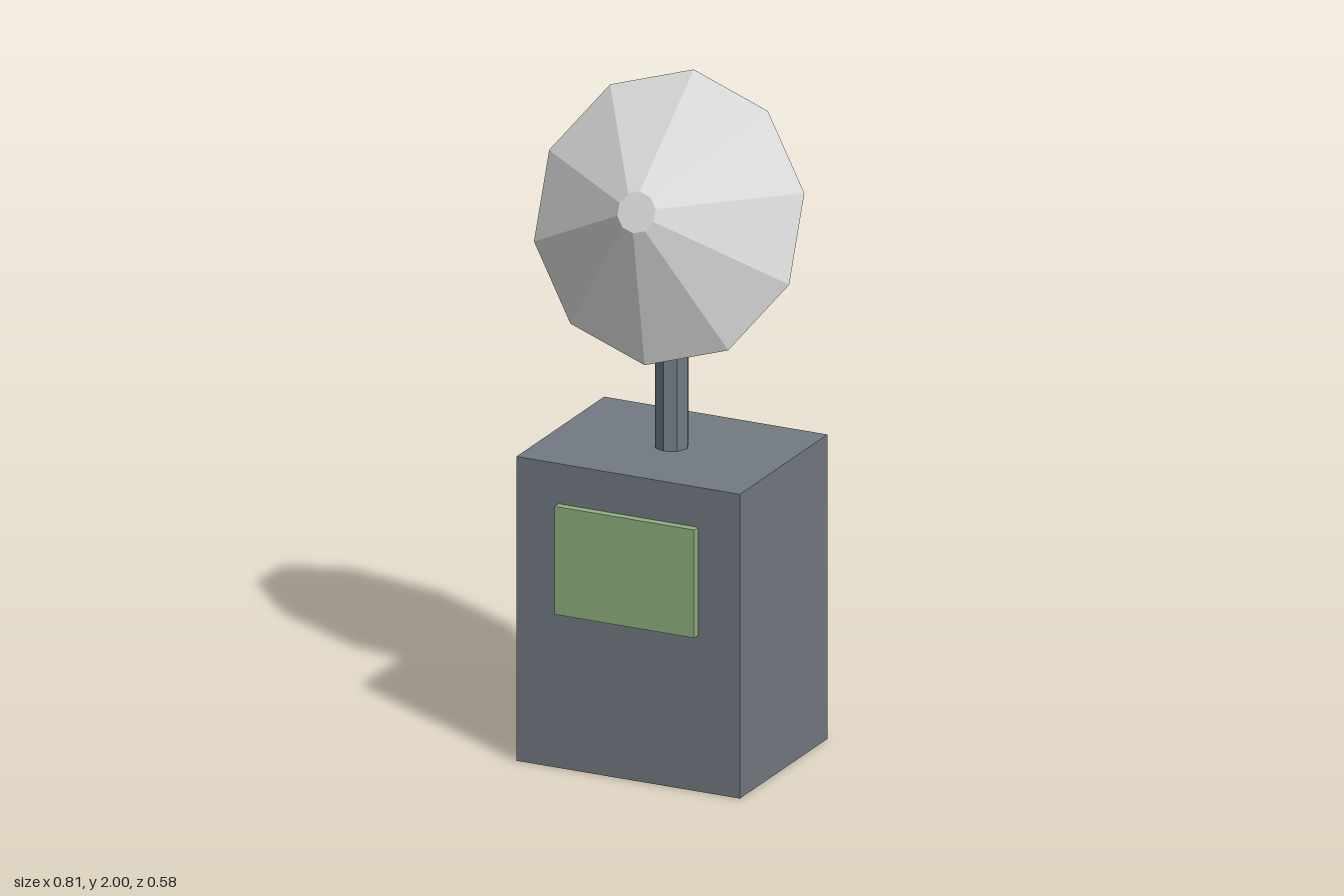
import * as THREE from 'three';

const flat = (name, color) => {
  const m = new THREE.MeshStandardMaterial({ color });
  m.name = name;
  return m;
};

export function createModel() {
  const group = new THREE.Group();
  const casing = flat('slate grey', 0x747a83);
  const steel = flat('blue grey', 0x707c85);
  const green = flat('soft green', 0x90b27f);
  const pale = flat('pale grey', 0xdcdcdc);

  const add = (name, geometry, material, x, y, z) => {
    // Unshared vertices with face normals give crisp facets
    const g = geometry.toNonIndexed();
    g.computeVertexNormals();
    const mesh = new THREE.Mesh(g, material);
    mesh.name = name;
    mesh.position.set(x, y, z);
    group.add(mesh);
    return mesh;
  };

  // Cabinet with a raised display on its front
  add('cabinet', new THREE.BoxGeometry(0.706, 0.915, 0.556), casing, 0, 0.4575, -0.013);
  add('displayPanel', new THREE.BoxGeometry(0.442, 0.325, 0.03), green, 0, 0.632, 0.275);

  // Octagonal mast
  add('mast', new THREE.CylinderGeometry(0.05, 0.05, 0.75, 8), steel, 0, 1.277, -0.01);

  // Ten-sided dish: closed cone with a blunt nose, tilted up and forward
  const tilt = 1.195, depth = 0.223;
  add('dish', new THREE.CylinderGeometry(0.06, 0.424, depth, 10), pale,
    0, 1.607 + Math.cos(tilt) * depth / 2, 0.005 + Math.sin(tilt) * depth / 2).rotation.x = tilt;

  return group;
}
